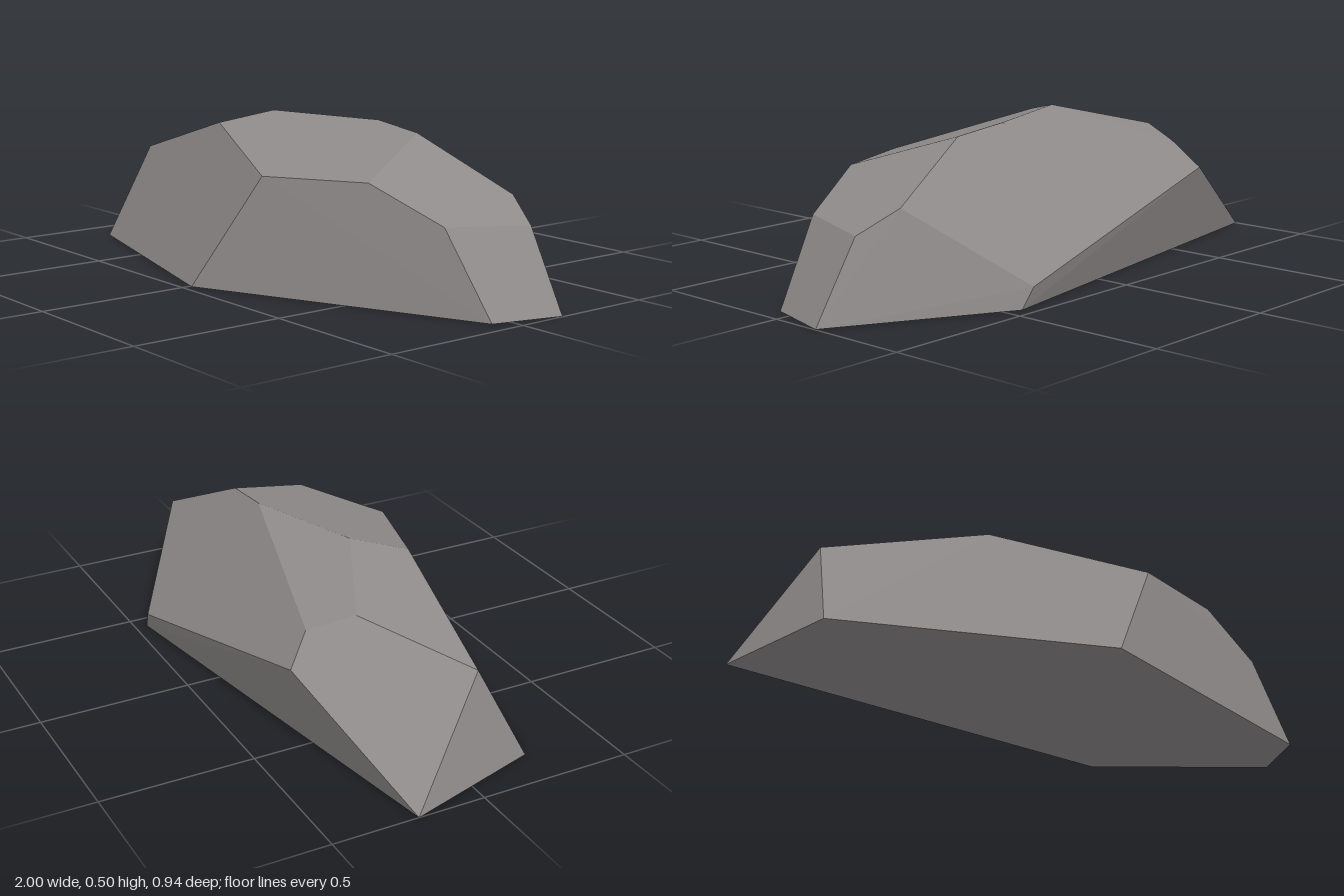
import * as THREE from 'three';
import { ConvexGeometry } from 'three/addons/geometries/ConvexGeometry.js';

export function createModel() {
  const group = new THREE.Group();
  group.name = 'rock';

  const stone = new THREE.MeshStandardMaterial({ color: 0x8f8a8a });
  stone.name = 'stone grey';

  // flat footprint on the ground
  const base = [
    [-1, 0, -0.22], [-0.86, 0, 0.235], [0.008, 0, 0.47],
    [0.935, 0, 0.06], [0.997, 0, -0.167], [0.445, 0, -0.46],
  ];
  // chipped shoulder corners, front round to the overhanging back
  const shoulder = [
    [-0.825, 0.316, 0.075], [0.2, 0.364, 0.334], [0.53, 0.371, 0.185],
    [0.768, 0.262, 0.096], [0.85, 0.248, -0.179], [0.72, 0.318, -0.232],
    [0.405, 0.065, -0.47], [-0.53, 0.291, -0.39],
  ];
  // corners of the crown
  const crown = [
    [-0.285, 0.465, 0.15], [0.383, 0.478, -0.14], [0.19, 0.499, -0.145],
    [-0.2, 0.503, -0.015], [-0.53, 0.42, -0.17], [-0.477, 0.381, -0.312],
  ];

  // faceted convex boulder spanning all corners
  const corners = [...base, ...shoulder, ...crown].map((p) => new THREE.Vector3(...p));
  const boulder = new THREE.Mesh(new ConvexGeometry(corners), stone);
  boulder.name = 'boulder';
  group.add(boulder);
  return group;
}
